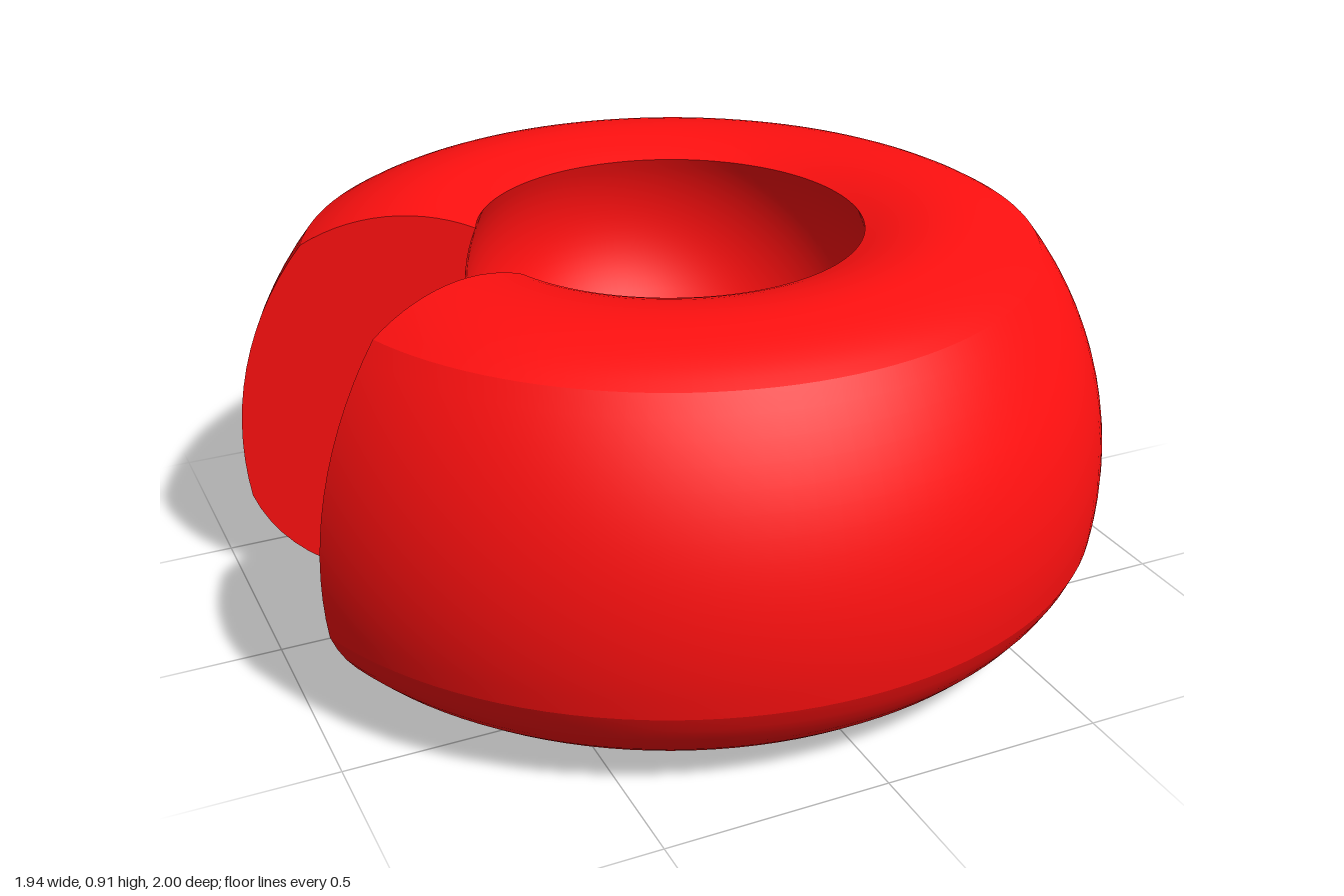
import * as THREE from 'three';
import { mergeGeometries } from 'three/addons/utils/BufferGeometryUtils.js';

const GAP = THREE.MathUtils.degToRad(20); // half opening angle, towards -x

// Points of the circular arc from a to b that passes through m
function arc(a, m, b, n = 14) {
  const [ax, ay] = a, [mx, my] = m, [bx, by] = b;
  const d = 2 * (ax * (my - by) + mx * (by - ay) + bx * (ay - my));
  const A = ax * ax + ay * ay, M = mx * mx + my * my, B = bx * bx + by * by;
  const cx = (A * (my - by) + M * (by - ay) + B * (ay - my)) / d;
  const cy = (A * (bx - mx) + M * (ax - bx) + B * (mx - ax)) / d;
  const r = Math.hypot(ax - cx, ay - cy);
  const t0 = Math.atan2(ay - cy, ax - cx);
  let dt = Math.atan2(by - cy, bx - cx) - t0;
  dt = Math.atan2(Math.sin(dt), Math.cos(dt)); // all arcs are under half a turn
  return Array.from({ length: n + 1 }, (_, i) => {
    const t = t0 + (dt * i) / n;
    return new THREE.Vector2(cx + r * Math.cos(t), cy + r * Math.sin(t));
  });
}

export function createModel() {
  const group = new THREE.Group();
  const red = new THREE.MeshStandardMaterial({ color: 0xff1010 });

  // Cross-section (radius, height), split at its sharp edges
  const sections = [
    arc([0.53, 0.035], [0.68, 0], [0.99, 0.22]),      // underside
    arc([0.99, 0.22], [1, 0.35], [0.828, 0.847]),     // outer wall
    arc([0.828, 0.847], [0.6, 0.91], [0.437, 0.876]), // top
    arc([0.437, 0.876], [0.466, 0.72], [0.4, 0.52]),  // upper bore
    arc([0.4, 0.52], [0.418, 0.395], [0.4, 0.27]),    // middle groove
    [new THREE.Vector2(0.4, 0.27), new THREE.Vector2(0.53, 0.035)], // flared mouth
  ];

  // Ring body, one lathe per section so the edges between them stay crisp
  const start = 1.5 * Math.PI + GAP, sweep = 2 * Math.PI - 2 * GAP;
  const body = new THREE.Mesh(
    mergeGeometries(sections.map((p) => new THREE.LatheGeometry(p, 112, start, sweep))), red);
  body.name = 'ringBody';
  group.add(body);

  // Flat cut faces closing both ends of the ring
  const outline = new THREE.Shape(sections.flatMap((p) => p.slice(0, -1)));
  const faceMaterial = red.clone();
  faceMaterial.side = THREE.DoubleSide;
  const faceGeometry = new THREE.ShapeGeometry(outline);
  [['leftCutFace', start], ['rightCutFace', start + sweep]].forEach(([name, phi]) => {
    const face = new THREE.Mesh(faceGeometry, faceMaterial);
    face.name = name;
    face.rotation.y = phi - Math.PI / 2;
    group.add(face);
  });

  group.children.forEach((part) => { part.position.x = -0.033; });
  return group;
}
